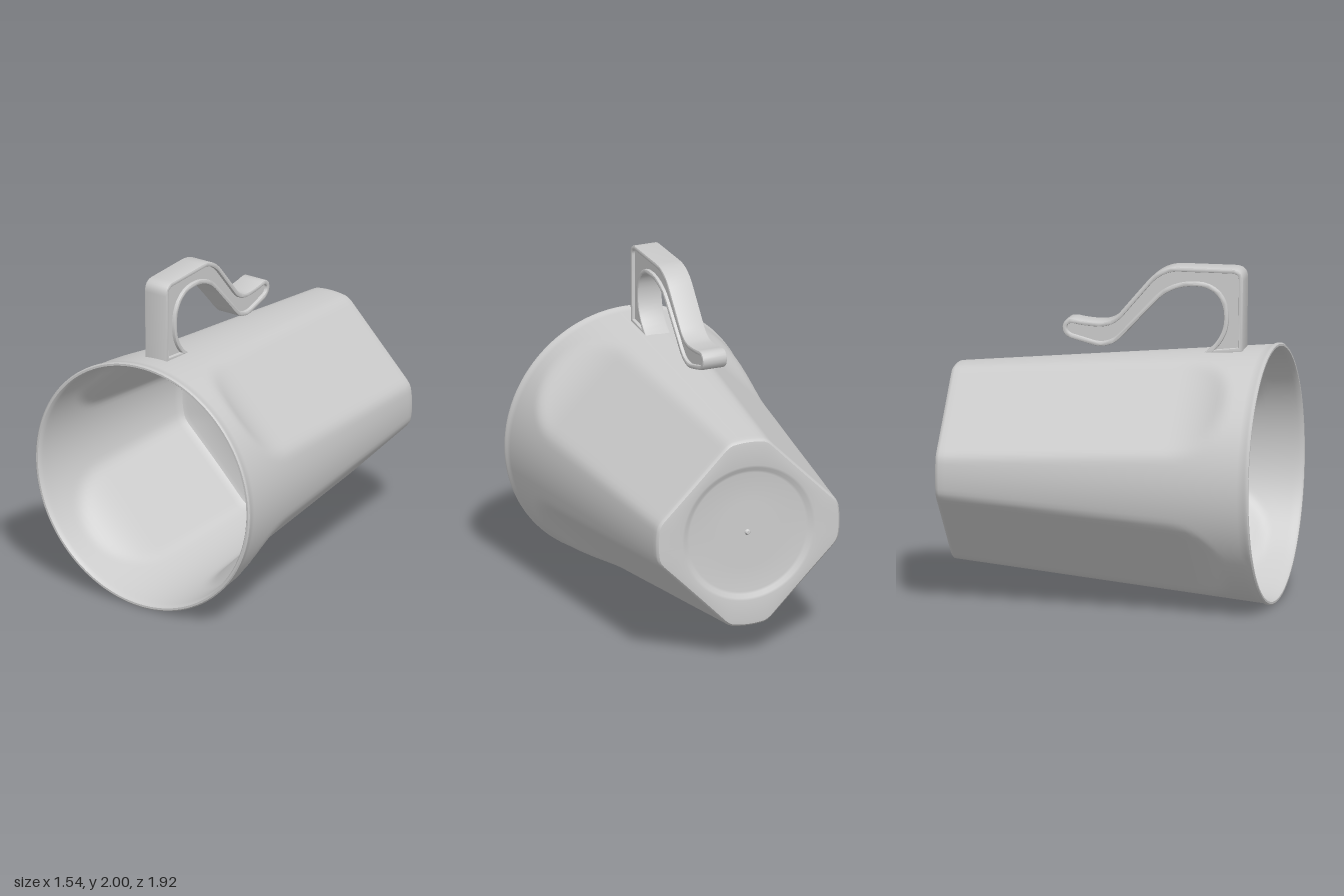
import * as THREE from 'three';
import { toCreasedNormals } from 'three/addons/utils/BufferGeometryUtils.js';

const SEG = 144;
const lerp = THREE.MathUtils.lerp;
const grey = () => new THREE.MeshStandardMaterial({ color: 0xcccccc });

// Distance of the four diagonal flats from the axis; they sweep out to the round near the rim
function flatDistance(z) {
  const sweep = Math.max(0, z - 0.42) / 0.36;
  return 0.487 + 0.106 * (z + 0.96) + 0.085 * Math.pow(sweep, 2.6);
}

// Cup outline radius: a tapering circle cut by four diagonal flats, edges slightly softened
function cupRadius(z, angle, inset) {
  const round = lerp(0.58, 0.765, (z + 0.96) / 1.92);
  const quarter = Math.PI / 2;
  const off = (((angle % quarter) + quarter) % quarter) - quarter / 2;
  const flat = flatDistance(z) / Math.cos(off);
  const k = 0.02;
  const h = Math.max(k - Math.abs(round - flat), 0) / k;
  return Math.min(round, flat) - (h * h * k) / 4 - inset;
}

// Skin a list of stations { z, radius(angle) } into one surface
function loft(stations) {
  const pos = [], index = [];
  stations.forEach(({ z, radius }, i) => {
    const cy = lerp(0.78, 0.77, (z + 0.96) / 1.92);
    for (let j = 0; j < SEG; j++) {
      const t = (j / SEG) * Math.PI * 2;
      const r = radius(t);
      pos.push(r * Math.cos(t), cy + r * Math.sin(t), z);
      if (i === 0) continue;
      const a = (i - 1) * SEG + j, b = (i - 1) * SEG + ((j + 1) % SEG);
      index.push(a, b, b + SEG, a, b + SEG, a + SEG);
    }
  });
  const geo = new THREE.BufferGeometry();
  geo.setAttribute('position', new THREE.Float32BufferAttribute(pos, 3));
  geo.setIndex(index);
  return toCreasedNormals(geo, 0.6);
}

function makeCup() {
  const stations = [];
  const circle = (r, z) => stations.push({ z, radius: () => r });
  const outline = (z, inset) => stations.push({ z, radius: (t) => cupRadius(z, t, inset) });

  // Base: centre nub, recessed disc, raised foot
  [[0, -0.956], [0.01, -0.955], [0.018, -0.942], [0.2, -0.942], [0.37, -0.942],
    [0.385, -0.945], [0.405, -0.96], [0.42, -0.963]].forEach(([r, z]) => circle(r, z));
  outline(-0.963, 0.03);
  outline(-0.961, 0.012);
  outline(-0.95, 0.002);

  // Outer wall
  for (let i = 0; i <= 52; i++) outline(lerp(-0.94, 0.93, i / 52), 0);

  // Rolled lip
  outline(0.94, -0.006);
  outline(0.955, -0.006);
  outline(0.962, 0.002);
  outline(0.962, 0.014);
  outline(0.95, 0.022);

  // Inner wall and floor
  for (let i = 0; i <= 40; i++) outline(lerp(0.93, -0.27, i / 40), 0.024);
  outline(-0.295, 0.035);
  outline(-0.305, 0.06);
  circle(0.35, -0.315);
  circle(0, -0.31);

  const cup = new THREE.Mesh(loft(stations), grey());
  cup.name = 'cup';
  return cup;
}

// Move a closed counterclockwise outline inward
function insetOutline(pts, amount) {
  const n = pts.length;
  return pts.map((p, i) => {
    const a = p.clone().sub(pts[(i + n - 1) % n]).normalize();
    const b = pts[(i + 1) % n].clone().sub(p).normalize();
    const na = new THREE.Vector2(-a.y, a.x), nb = new THREE.Vector2(-b.y, b.x);
    const m = na.clone().add(nb).normalize();
    return p.clone().addScaledVector(m, amount / Math.max(0.5, m.dot(na)));
  });
}

// Extrude a side profile (z, y) to a width centred on x = 0
function sidePlate(shape, width, bevel, name) {
  let geo = new THREE.ExtrudeGeometry(shape, {
    depth: width - 2 * bevel, bevelEnabled: bevel > 0, bevelSize: bevel,
    bevelThickness: bevel, bevelOffset: -bevel, bevelSegments: 2,
  });
  geo.translate(0, 0, bevel - width / 2);
  geo.rotateY(-Math.PI / 2);
  const mesh = new THREE.Mesh(toCreasedNormals(geo, 0.7), grey());
  mesh.name = name;
  return mesh;
}

function makeHandle() {
  // Hooked side profile
  const s = new THREE.Shape();
  s.moveTo(0.78, 1.505);
  s.lineTo(0.785, 1.93);
  s.quadraticCurveTo(0.785, 2.0, 0.71, 2.0);
  s.lineTo(0.4, 2.0);
  s.quadraticCurveTo(0.29, 2.0, 0.21, 1.91);
  s.lineTo(0.04, 1.71);
  s.quadraticCurveTo(-0.01, 1.655, -0.08, 1.655);
  s.quadraticCurveTo(-0.16, 1.655, -0.23, 1.67);
  s.bezierCurveTo(-0.31, 1.68, -0.32, 1.58, -0.25, 1.555);
  s.lineTo(-0.12, 1.52);
  s.quadraticCurveTo(-0.05, 1.5, 0.02, 1.54);
  s.quadraticCurveTo(0.06, 1.57, 0.1, 1.62);
  s.lineTo(0.27, 1.8);
  s.quadraticCurveTo(0.36, 1.89, 0.5, 1.89);
  s.bezierCurveTo(0.61, 1.89, 0.67, 1.82, 0.67, 1.71);
  s.quadraticCurveTo(0.67, 1.58, 0.55, 1.495);
  let pts = s.getPoints(8).filter((p, i, all) => i === 0 || p.distanceTo(all[i - 1]) > 1e-4);
  if (THREE.ShapeUtils.area(pts) < 0) pts = pts.reverse();

  // Raised border around a thinner web
  const border = new THREE.Shape(pts);
  border.holes.push(new THREE.Path(insetOutline(pts, 0.027).reverse()));
  const handle = new THREE.Group();
  handle.name = 'handle';
  handle.add(sidePlate(border, 0.155, 0.008, 'handleBorder'));
  handle.add(sidePlate(new THREE.Shape(insetOutline(pts, 0.012)), 0.115, 0, 'handleWeb'));
  handle.position.x = -0.05;
  handle.rotation.y = 0.024;
  return handle;
}

export function createModel() {
  const model = new THREE.Group();
  model.name = 'mug';
  model.add(makeCup(), makeHandle());
  return model;
}
